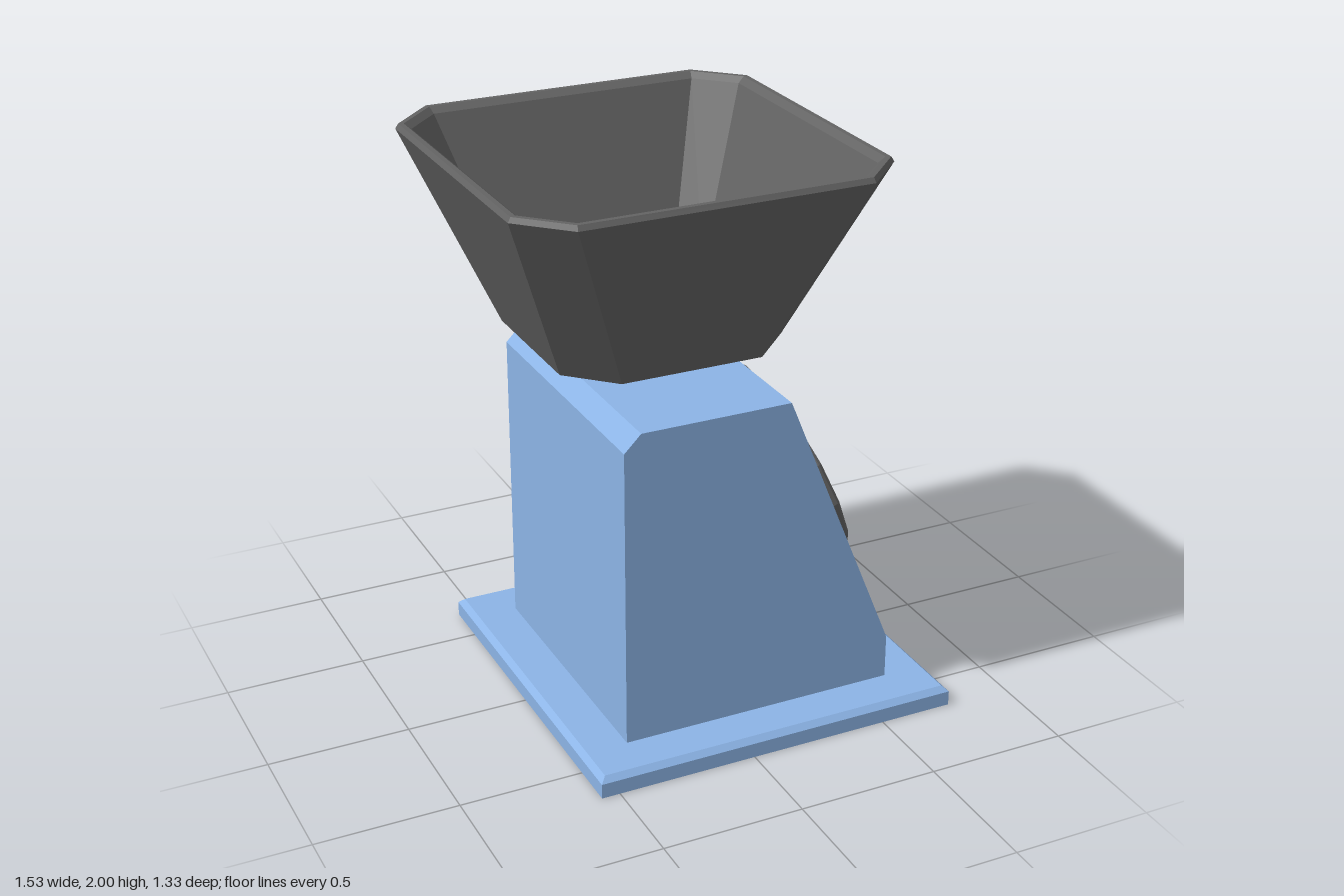
import * as THREE from 'three';

const paint = (color, side = THREE.FrontSide) =>
  new THREE.MeshStandardMaterial({ color, flatShading: true, side });
const blue = paint(0x8cb4e6);
const dark = paint(0x636363);
const pale = paint(0xcccccc);

function add(parent, name, geometry, material, x = 0, y = 0, z = 0) {
  const mesh = new THREE.Mesh(geometry, material);
  mesh.name = name;
  mesh.position.set(x, y, z);
  parent.add(mesh);
  return mesh;
}

// Ring of corners at height y: a square, or an octagon when flat < half
function ring(y, half, flat = half) {
  const points = [];
  for (let k = 0; k < 4; k++) {
    const c = Math.round(Math.cos(k * Math.PI / 2)), s = Math.round(Math.sin(k * Math.PI / 2));
    const corners = flat < half ? [[half, -flat], [half, flat]] : [[half, half]];
    for (const [u, v] of corners) points.push(new THREE.Vector3(u * c - v * s, y, u * s + v * c));
  }
  return points;
}

// Skin successive rings and cap the first and last
function loft(rings) {
  const out = [];
  const tri = (...p) => p.forEach((v) => out.push(v.x, v.y, v.z));
  const n = rings[0].length;
  for (let r = 0; r < rings.length - 1; r++) {
    for (let i = 0; i < n; i++) {
      const j = (i + 1) % n, lo = rings[r], hi = rings[r + 1];
      tri(lo[i], hi[i], hi[j]);
      tri(lo[i], hi[j], lo[j]);
    }
  }
  const first = rings[0], last = rings[rings.length - 1];
  for (let i = 1; i < n - 1; i++) {
    tri(first[0], first[i], first[i + 1]);
    tri(last[0], last[i + 1], last[i]);
  }
  const geometry = new THREE.BufferGeometry();
  geometry.setAttribute('position', new THREE.Float32BufferAttribute(out, 3));
  geometry.computeVertexNormals();
  return geometry;
}

function extrude(points, depth) {
  const shape = new THREE.Shape(points.map(([x, y]) => new THREE.Vector2(x, y)));
  return new THREE.ExtrudeGeometry(shape, { depth, bevelEnabled: false });
}

function createDial() {
  const dial = new THREE.Group();
  dial.name = 'dial';

  // Faceted rim with a recessed face
  const profile = [[0.41, 0], [0.41, 0.045], [0.403, 0.055], [0.383, 0.055], [0.373, 0.025]]
    .map(([x, y]) => new THREE.Vector2(x, y));
  add(dial, 'dialRim', new THREE.LatheGeometry(profile, 16), dark).rotation.x = Math.PI / 2;
  add(dial, 'dialFace', new THREE.CircleGeometry(0.376, 16), pale, 0, 0, 0.027);

  // Pointer: long tapered needle and flared tail
  const needle = [[-0.022, 0], [0.022, 0], [0.005, 0.325], [-0.005, 0.325]];
  const tail = [[-0.045, -0.168], [0, -0.174], [0.045, -0.168], [0.022, -0.04], [-0.022, -0.04]];
  add(dial, 'needle', extrude(needle, 0.012), dark, 0, 0, 0.03);
  add(dial, 'needleTail', extrude(tail, 0.012), dark, 0, 0, 0.03);

  // Hub and centre pin
  const hub = new THREE.CylinderGeometry(0.06, 0.067, 0.025, 16);
  add(dial, 'hub', hub, dark, 0, 0, 0.038).rotation.x = Math.PI / 2;
  const pin = new THREE.CylinderGeometry(0.025, 0.03, 0.02, 12);
  add(dial, 'centrePin', pin, blue, 0, 0, 0.057).rotation.x = Math.PI / 2;
  return dial;
}

export function createModel() {
  const model = new THREE.Group();
  model.name = 'kitchenScale';

  // Bevelled base plate
  add(model, 'basePlate', loft([ring(0, 0.665), ring(0.053, 0.665), ring(0.072, 0.645)]), blue, 0.1);

  // Housing with a sloped dial side
  const side = [[-0.4, 0.06], [0.6, 0.06], [0.6, 0.23], [0.2, 1.21], [-0.34, 1.21], [-0.4, 1.15]];
  add(model, 'housing', extrude(side, 1), blue, 0, 0, -0.5);

  // Dial lies on the slope
  const up = new THREE.Vector3(-0.4, 0.98, 0).normalize();
  const normal = new THREE.Vector3(up.y, -up.x, 0);
  const across = new THREE.Vector3().crossVectors(up, normal);
  const dial = createDial();
  dial.quaternion.setFromRotationMatrix(new THREE.Matrix4().makeBasis(across, up, normal));
  dial.position.set(0.396, 0.73, 0);
  model.add(dial);

  // Flat post carrying the bowl
  add(model, 'post', new THREE.BoxGeometry(0.044, 0.17, 0.175), dark, -0.11, 1.28, 0);

  // Bowl: outside wall, bevelled rim, inside wall and floor
  add(model, 'bowl', loft([
    ring(1.345, 0.4, 0.25),
    ring(1.983, 0.657, 0.5),
    ring(2, 0.647, 0.497),
    ring(2, 0.63, 0.49),
    ring(1.98, 0.607, 0.483),
    ring(1.4, 0.382, 0.305),
  ]), dark, -0.11);

  return model;
}
